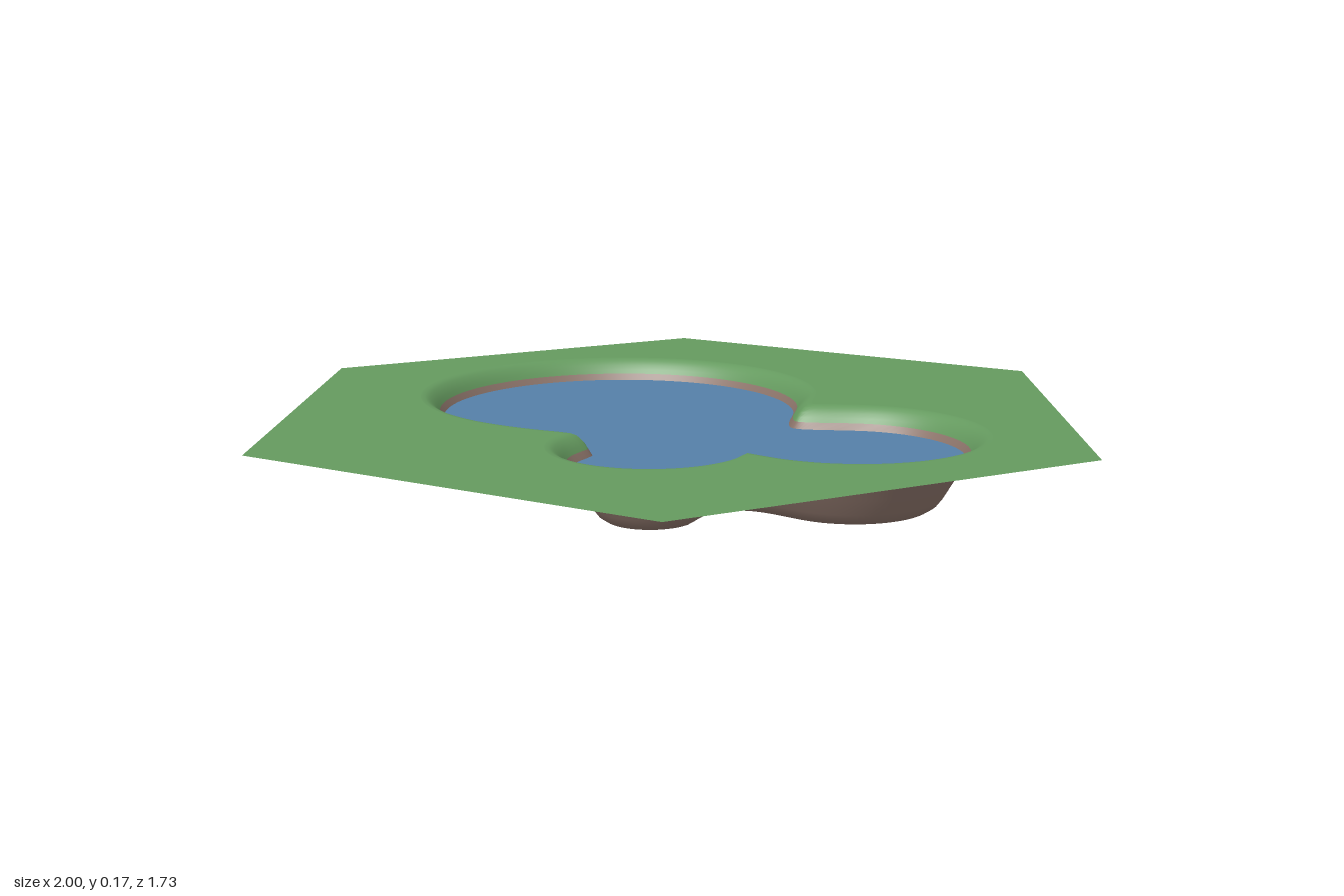
import * as THREE from 'three';

const GROUND_Y = 0.17, WATER_Y = 0.12, STEPS = 320;
const CENTRE = [0.1, -0.02]; // x, z point that sees the whole shoreline

const arc = (cx, cz, r, from, to, n) => Array.from({ length: n + 1 }, (_, i) => {
  const a = THREE.MathUtils.degToRad(from + (to - from) * i / n);
  return new THREE.Vector3(cx + r * Math.cos(a), 0, cz + r * Math.sin(a));
});
const points = (...list) => list.map(([x, z]) => new THREE.Vector3(x, 0, z));

// Shoreline: three round pools joined by small rounded spits of land
const shoreline = new THREE.CatmullRomCurve3([
  ...arc(-0.225, -0.11, 0.42, 92, 330, 26),
  ...points([0.19, -0.2], [0.22, -0.16], [0.25, -0.162]),
  ...arc(0.45, 0.025, 0.255, 245, 460, 20),
  ...points([0.345, 0.268], [0.318, 0.272], [0.32, 0.31]),
  ...arc(0.155, 0.355, 0.17, 0, 180, 14),
  ...points([-0.018, 0.32], [-0.035, 0.303], [-0.08, 0.3], [-0.15, 0.308]),
], true, 'centripetal').getPoints(300);

// Signed distance to the shoreline, negative on the water side
function distance(x, z) {
  let best = Infinity, inside = false;
  for (let i = 0; i < shoreline.length - 1; i++) {
    const p = shoreline[i], q = shoreline[i + 1];
    const ex = q.x - p.x, ez = q.z - p.z;
    const t = Math.min(1, Math.max(0, ((x - p.x) * ex + (z - p.z) * ez) / (ex * ex + ez * ez || 1)));
    best = Math.min(best, Math.hypot(x - p.x - ex * t, z - p.z - ez * t));
    if ((p.z > z) !== (q.z > z) && x < p.x + ex * (z - p.z) / ez) inside = !inside;
  }
  return inside ? -best : best;
}

// Closed ring of [x, z] points at a given offset from the shoreline
function ring(offset) {
  return Array.from({ length: STEPS }, (_, i) => {
    const a = i / STEPS * Math.PI * 2, c = Math.cos(a), s = Math.sin(a);
    let lo = 0, hi = 1;
    for (let k = 0; k < 18; k++) {
      const m = (lo + hi) / 2;
      if (distance(CENTRE[0] + c * m, CENTRE[1] + s * m) < offset) lo = m; else hi = m;
    }
    return [CENTRE[0] + c * lo, CENTRE[1] + s * lo];
  });
}

// Surface through rings given as [offset, y], outer to inner, with an optional central cap
function ringSurface(profile, capY) {
  const pos = [], idx = [];
  for (const [offset, y] of profile) for (const [x, z] of ring(offset)) pos.push(x, y, z);
  for (let r = 0; r < profile.length - 1; r++) {
    for (let j = 0; j < STEPS; j++) {
      const k = (j + 1) % STEPS;
      const a = r * STEPS + j, b = r * STEPS + k, c = a + STEPS, d = b + STEPS;
      idx.push(c, b, a, c, d, b);
    }
  }
  if (capY !== undefined) {
    const base = (profile.length - 1) * STEPS, centre = pos.length / 3;
    pos.push(CENTRE[0], capY, CENTRE[1]);
    for (let j = 0; j < STEPS; j++) idx.push(centre, base + (j + 1) % STEPS, base + j);
  }
  const g = new THREE.BufferGeometry();
  g.setAttribute('position', new THREE.Float32BufferAttribute(pos, 3));
  g.setIndex(idx);
  g.computeVertexNormals();
  return g;
}

export function createModel() {
  const group = new THREE.Group();
  const material = color => new THREE.MeshStandardMaterial({ color, side: THREE.DoubleSide });
  const grass = material(0x659a5f), earth = material(0x8c746a), blue = material(0x5580a8);
  const add = (name, geometry, mat) => {
    const mesh = new THREE.Mesh(geometry, mat);
    mesh.name = name;
    group.add(mesh);
  };

  // Flat hexagonal lawn with the pond cut out
  const hexagon = new THREE.Shape(Array.from({ length: 6 }, (_, i) =>
    new THREE.Vector2(Math.cos(i * Math.PI / 3), Math.sin(i * Math.PI / 3))));
  const outer = 0.05;
  hexagon.holes.push(new THREE.Path(ring(outer).map(([x, z]) => new THREE.Vector2(x, -z))));
  add('lawn', new THREE.ShapeGeometry(hexagon).rotateX(-Math.PI / 2).translate(0, GROUND_Y, 0), grass);

  // Grass edge rolling down towards the water
  add('grassBank', ringSurface([[outer, GROUND_Y], [0.04, 0.169], [0.03, 0.164], [0.02, 0.155],
    [0.012, 0.145], [0.006, 0.135]]), grass);

  // Earth basin with sloping wall, rounded foot and shallow floor
  add('pondBasin', ringSurface([[0.006, 0.135], [-0.006, 0.115], [-0.028, 0.075], [-0.048, 0.04],
    [-0.06, 0.024], [-0.075, 0.014], [-0.095, 0.01], [-0.125, 0.007]], 0), earth);

  // Water surface
  add('water', ringSurface([[0, WATER_Y]], WATER_Y), blue);
  return group;
}
